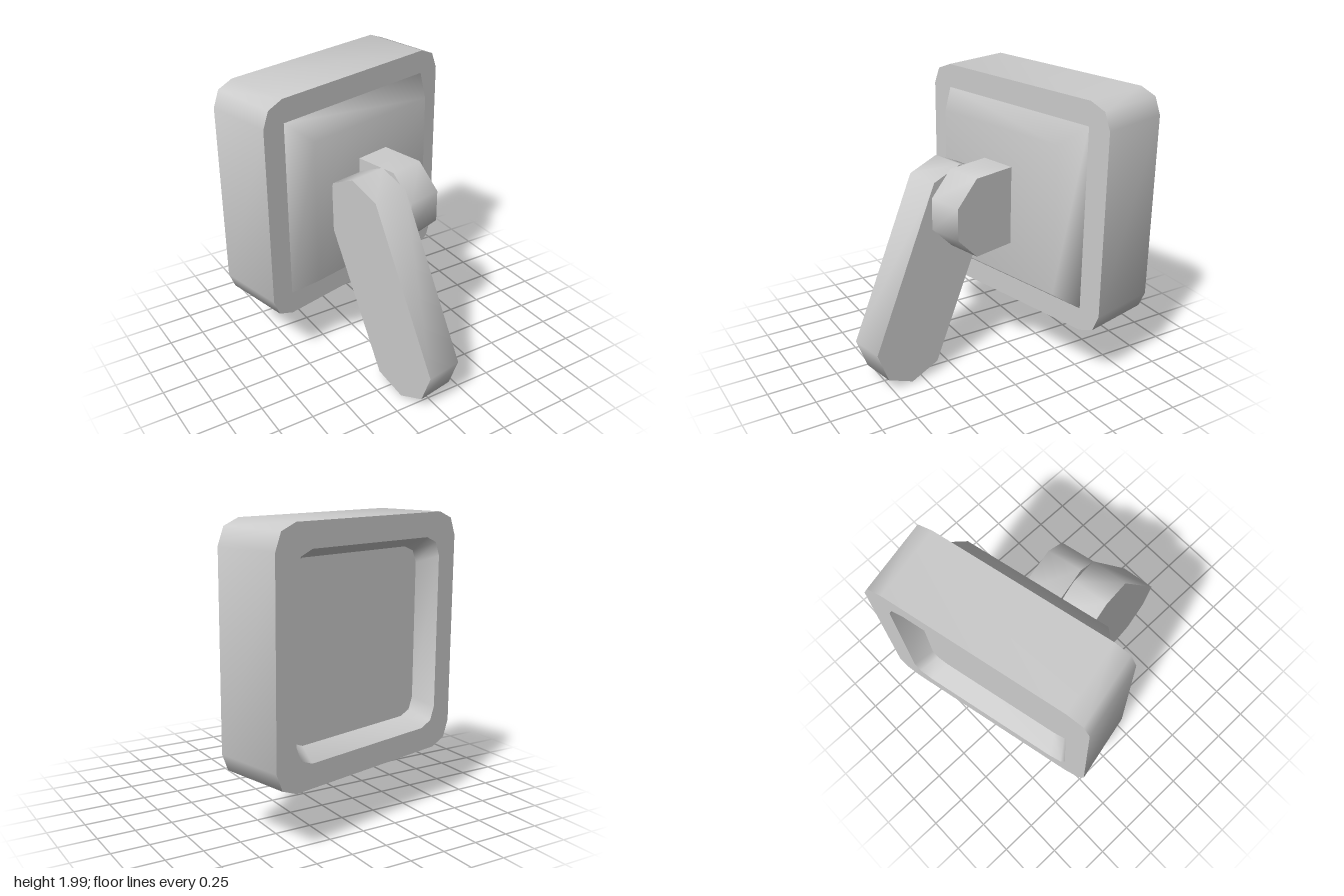
import * as THREE from 'three';
import { toCreasedNormals } from 'three/addons/utils/BufferGeometryUtils.js';

const material = new THREE.MeshStandardMaterial({ color: 0xcccccc });

// Skins convex rings ({ pts: counter-clockwise [x, y] list, z }), ordered front to back.
function loft(rings, { endCap = true, smooth = false } = {}) {
  const n = rings[0].pts.length;
  const pos = rings.flatMap(r => r.pts.flatMap(([x, y]) => [x, y, r.z]));
  const index = [];
  for (let k = 0; k < rings.length - 1; k++) {
    for (let i = 0; i < n; i++) {
      const a = k * n + i, b = k * n + (i + 1) % n;
      index.push(a, a + n, b + n, a, b + n, b);
    }
  }
  const last = (rings.length - 1) * n;
  for (let i = 1; i < n - 1; i++) {
    index.push(0, i, i + 1);
    if (endCap) index.push(last, last + i + 1, last + i);
  }
  const geo = new THREE.BufferGeometry();
  geo.setAttribute('position', new THREE.Float32BufferAttribute(pos, 3));
  geo.setIndex(index);
  geo.computeVertexNormals();
  return smooth ? geo : toCreasedNormals(geo, THREE.MathUtils.degToRad(55));
}

// Square with each corner cut by two facets.
function cutSquare(h, z) {
  const c = h * 0.2, m = h * 0.057;
  const corner = [[h, h - c], [h - m, h - m], [h - c, h]];
  const pts = [];
  for (let q = 0; q < 4; q++) {
    for (let [x, y] of corner) {
      for (let t = 0; t < q; t++) [x, y] = [-y, x];
      pts.push([x, y]);
    }
  }
  return { pts, z };
}

const square = (h, z) => ({ pts: [[-h, -h], [h, -h], [h, h], [-h, h]], z });

// Flat plate whose side profile lies in z, y and whose thickness runs along x.
function plate(profile, thickness) {
  return loft([{ pts: profile, z: thickness / 2 }, { pts: profile, z: -thickness / 2 }])
    .rotateY(-Math.PI / 2);
}

function part(name, geometry, parent) {
  const mesh = new THREE.Mesh(geometry, material);
  mesh.name = name;
  parent.add(mesh);
  return mesh;
}

export function createModel() {
  const model = new THREE.Group();
  model.name = 'swivelHeadOnArm';

  // Head assembly, turned about the upright axis
  const head = new THREE.Group();
  head.name = 'head';
  head.position.set(0, 1.207, -0.488);
  head.rotation.y = 0.227;
  model.add(head);

  // Housing: solid front, tapered recess at the back
  part('housing', loft([
    cutSquare(0.792, 0.249), cutSquare(0.792, -0.249),
    cutSquare(0.635, -0.249), cutSquare(0.57, -0.11),
  ]), head);

  // Softly shaded raised pad on the front
  part('raisedPad', loft([square(0.515, 0.4), square(0.63, 0.249)],
    { endCap: false, smooth: true }), head);

  // Pivot block with cut front corners
  const c = 0.163, h = 0.272;
  part('pivotBlock', plate([
    [0.38, -h], [0.873 - c, -h], [0.873, c - h], [0.873, h - c], [0.873 - c, h], [0.38, h],
  ], 0.25), head);

  // Long arm with cut ends, leaning forward and down beside the block
  const w = 0.27, l = 0.763;
  const arm = part('arm', plate([
    [c - w, -l], [w - c, -l], [w, c - l], [w, l - c],
    [w - c, l], [c - w, l], [-w, l - c], [-w, c - l],
  ], 0.258), model);
  const up = new THREE.Vector3(-0.105, 1.085, -0.5).normalize();
  const front = new THREE.Vector3(0.987, 0, -0.16).cross(up).normalize();
  const side = up.clone().cross(front);
  arm.quaternion.setFromRotationMatrix(new THREE.Matrix4().makeBasis(side, up, front));
  arm.position.set(-0.064, 0.748, 0.389);

  return model;
}
